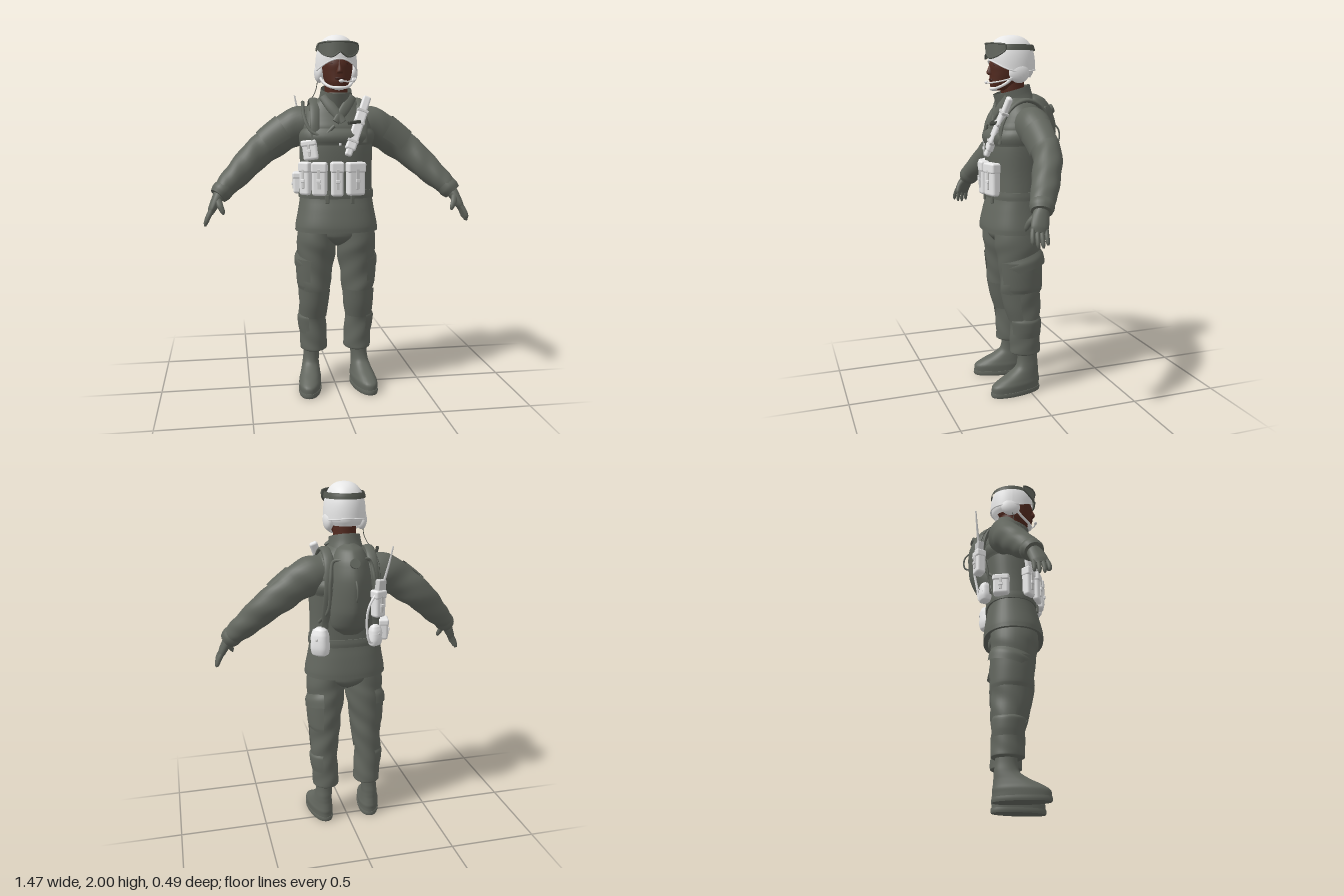
import * as THREE from 'three';
import { RoundedBoxGeometry } from 'three/addons/geometries/RoundedBoxGeometry.js';

const mat = (name, color) => new THREE.MeshStandardMaterial({ name, color, side: THREE.DoubleSide });
const V = (p) => new THREE.Vector3(...p);

// Smooth skin through oval sections: rows of [x, y, z, radiusU, radiusV]
function loft(rows, { n = 32, steps = 5, pow = 1, flat = false, caps = true, arc = null, ref = [0, 0, 1], fold = 0 } = {}) {
  const path = new THREE.CatmullRomCurve3(rows.map((r) => V(r.slice(0, 3))));
  const radii = new THREE.CatmullRomCurve3(rows.map((r) => V([r[3], r[4], 0])));
  const count = (rows.length - 1) * steps, cols = arc ? n + 1 : n;
  const [a0, a1] = arc || [0, Math.PI * 2];
  const pos = [], idx = [];
  const se = (c) => Math.sign(c) * Math.abs(c) ** pow;
  const ring = (s) => {
    const t = flat ? V([0, 1, 0]) : path.getTangent(s);
    const u = t.clone().cross(V(ref)).normalize(), v = u.clone().cross(t);
    const c = path.getPoint(s), r = radii.getPoint(s);
    for (let j = 0; j < cols; j++) {
      const a = a0 + (a1 - a0) * j / n;
      const k = 1 + fold * Math.sin(s * 31 + 2 * a) * Math.sin(s * Math.PI) * Math.cos(a + s * 9);
      const p = c.clone().addScaledVector(u, se(Math.cos(a)) * r.x * k).addScaledVector(v, se(Math.sin(a)) * r.y * k);
      pos.push(p.x, p.y, p.z);
    }
    return c;
  };
  for (let i = 0; i <= count; i++) ring(i / count);
  for (let i = 0; i < count; i++) for (let j = 0; j < n; j++) {
    const k = arc ? j + 1 : (j + 1) % n, a = i * cols + j, b = i * cols + k;
    idx.push(a, a + cols, b, b, a + cols, b + cols);
  }
  if (caps && !arc) for (const s of [0, 1]) {
    const base = pos.length / 3, c = ring(s);
    pos.push(c.x, c.y, c.z);
    for (let j = 0; j < n; j++) {
      const k = base + (j + 1) % n;
      s ? idx.push(base + n, k, base + j) : idx.push(base + n, base + j, k);
    }
  }
  const g = new THREE.BufferGeometry();
  g.setAttribute('position', new THREE.Float32BufferAttribute(pos, 3));
  g.setIndex(idx);
  g.computeVertexNormals();
  return g;
}

const box = (w, h, d, r = 0.012) => new RoundedBoxGeometry(w, h, d, 3, Math.min(r, w * 0.45, h * 0.45, d * 0.45));
const ball = (rx, ry, rz) => new THREE.SphereGeometry(1, 20, 14).scale(rx, ry, rz);
const cord = (pts, r, closed = false) => new THREE.TubeGeometry(new THREE.CatmullRomCurve3(pts.map(V), closed), 48, r, 8, closed);

export function createModel() {
  const olive = mat('oliveCloth', 0x62665e), dark = mat('darkOlive', 0x454942), trim = mat('goggleTrim', 0x53574f);
  const white = mat('whiteGear', 0xeeeeee), grey = mat('greyTrim', 0xcfcfce), skin = mat('skin', 0x522a1f), lip = mat('darkSkin', 0x40201a);
  const root = new THREE.Group();
  root.name = 'soldier';
  const add = (name, geo, m, p = [0, 0, 0], rot = [0, 0, 0], parent = root) => {
    const mesh = new THREE.Mesh(geo, m);
    mesh.name = name;
    mesh.position.set(...p);
    mesh.rotation.set(...rot);
    parent.add(mesh);
    return mesh;
  };
  // Left part plus its mirrored right twin
  const pair = (name, geo, m, p, rot) => {
    const left = add(name + 'Left', geo, m, p, rot);
    left.updateMatrix();
    const g = geo.clone().applyMatrix4(left.matrix).applyMatrix4(new THREE.Matrix4().makeScale(-1, 1, 1));
    const ix = Array.from(g.index ? g.index.array : g.attributes.position.array.keys()).slice(0, g.index ? undefined : g.attributes.position.count);
    for (let i = 0; i < ix.length; i += 3) [ix[i], ix[i + 1]] = [ix[i + 1], ix[i]];
    g.setIndex(ix);
    add(name + 'Right', g, m);
  };

  // Jacket body with flared skirt
  add('jacket', loft([
    [0, 0.93, 0.05, 0.232, 0.17], [0, 0.96, 0.05, 0.23, 0.17], [0, 1.05, 0.045, 0.213, 0.155], [0, 1.14, 0.04, 0.2, 0.137],
    [0, 1.25, 0.038, 0.195, 0.14], [0, 1.4, 0.033, 0.2, 0.15], [0, 1.5, 0.02, 0.2, 0.15], [0, 1.58, 0.012, 0.182, 0.125],
    [0, 1.63, 0.015, 0.14, 0.105], [0, 1.665, 0.025, 0.09, 0.09], [0, 1.69, 0.03, 0.07, 0.075]], { flat: true, pow: 0.87, n: 48 }), olive);
  add('vest', loft([[0, 1.15, 0.04, 0.203, 0.142], [0, 1.25, 0.038, 0.2, 0.145], [0, 1.4, 0.033, 0.204, 0.154], [0, 1.5, 0.02, 0.203, 0.154], [0, 1.535, 0.016, 0.195, 0.144]],
    { flat: true, pow: 0.87, n: 48, caps: false }), olive);
  add('belt', loft([[0, 1.115, 0.04, 0.21, 0.148], [0, 1.135, 0.04, 0.21, 0.15], [0, 1.16, 0.04, 0.207, 0.148]],
    { flat: true, pow: 0.87, n: 48 }), olive);
  add('collar', loft([[0, 1.62, 0.02, 0.105, 0.108], [0, 1.67, 0.036, 0.09, 0.106], [0, 1.71, 0.047, 0.084, 0.107]], { caps: false }), olive);
  pair('lapel', loft([[0.08, 1.67, 0.1, 0.026, 0.01], [0.04, 1.61, 0.133, 0.028, 0.01], [-0.02, 1.53, 0.166, 0.02, 0.008]], { n: 14 }), olive);
  pair('shoulderStrap', loft([[0.13, 1.42, 0.163, 0.008, 0.024], [0.132, 1.53, 0.146, 0.01, 0.026], [0.125, 1.62, 0.085, 0.012, 0.028],
    [0.122, 1.652, 0, 0.013, 0.028], [0.12, 1.61, -0.085, 0.012, 0.028], [0.125, 1.5, -0.125, 0.01, 0.026], [0.14, 1.3, -0.1, 0.008, 0.024],
    [0.15, 1.16, -0.085, 0.008, 0.024]], { ref: [1, 0, 0], n: 14 }), olive);

  // Sleeves, gloves
  const arm = [[0.12, 1.535, 0, 0.085, 0.085], [0.2, 1.51, -0.003, 0.108, 0.095], [0.3, 1.457, -0.006, 0.095, 0.079], [0.4, 1.385, -0.004, 0.087, 0.074],
    [0.5, 1.297, 0.035, 0.078, 0.073], [0.58, 1.217, 0.083, 0.066, 0.068], [0.632, 1.163, 0.113, 0.053, 0.059], [0.652, 1.14, 0.123, 0.042, 0.045]];
  pair('sleeve', loft(arm, { fold: 0.06 }), olive);
  pair('sleevePocket', loft([[0.275, 1.474, -0.006, 0.107, 0.091], [0.33, 1.438, -0.006, 0.101, 0.086], [0.385, 1.397, -0.004, 0.096, 0.082]],
    { arc: [Math.PI * 0.4, Math.PI * 1.15], n: 16 }), olive);
  pair('gloveCuff', loft([[0.615, 1.18, 0.105, 0.056, 0.061], [0.635, 1.16, 0.115, 0.058, 0.063], [0.655, 1.138, 0.125, 0.049, 0.053]], { n: 20 }), olive);
  pair('palm', loft([[0.645, 1.15, 0.12, 0.034, 0.036], [0.668, 1.11, 0.135, 0.027, 0.044], [0.688, 1.07, 0.147, 0.022, 0.045],
    [0.698, 1.045, 0.152, 0.015, 0.036]], { n: 18 }), olive);
  for (let i = 0; i < 4; i++) {
    const o = (i - 1.5) * 0.022, len = [0.88, 1, 0.97, 0.8][i];
    pair('finger' + i, loft([[0.69, 1.065, 0.15 + o, 0.013, 0.012], [0.69 + 0.022 * len, 1.065 - 0.04 * len, 0.155 + o * 1.1, 0.013, 0.0115],
      [0.69 + 0.034 * len, 1.065 - 0.072 * len, 0.156 + o * 1.15, 0.011, 0.01], [0.69 + 0.038 * len, 1.065 - 0.088 * len, 0.155 + o * 1.15, 0.005, 0.005]],
      { n: 10, steps: 3 }), olive);
  }
  pair('thumb', loft([[0.66, 1.125, 0.15, 0.02, 0.018], [0.645, 1.09, 0.182, 0.017, 0.015], [0.632, 1.06, 0.193, 0.013, 0.012],
    [0.627, 1.045, 0.197, 0.005, 0.005]], { n: 10 }), olive);

  // Trousers with bloused cuffs, wrap-round pockets and knee patches
  pair('trouserLeg', loft([[0.128, 0.222, 0.01, 0.06, 0.07], [0.127, 0.235, 0.013, 0.078, 0.088], [0.13, 0.3, 0.014, 0.078, 0.087],
    [0.132, 0.4, 0.015, 0.077, 0.086], [0.13, 0.5, 0.03, 0.083, 0.1], [0.126, 0.6, 0.035, 0.091, 0.115], [0.12, 0.7, 0.04, 0.1, 0.12],
    [0.115, 0.8, 0.045, 0.107, 0.128], [0.112, 0.88, 0.05, 0.111, 0.132], [0.1, 1, 0.05, 0.1, 0.13]], { flat: true, fold: 0.06 }), olive);
  add('trouserSeat', loft([[0, 0.845, 0.04, 0.03, 0.07], [0, 0.87, 0.042, 0.09, 0.115], [0, 0.91, 0.045, 0.18, 0.138], [0, 1, 0.045, 0.19, 0.138]],
    { flat: true }), olive);
  const side = { n: 18, steps: 4, arc: [-0.4 * Math.PI, 0.38 * Math.PI] };
  pair('cargoPocket', loft([[0.125, 0.595, 0.033, 0.09, 0.115], [0.123, 0.62, 0.035, 0.1, 0.121], [0.12, 0.7, 0.04, 0.109, 0.126],
    [0.117, 0.77, 0.044, 0.114, 0.13]], { ...side, flat: true }), olive);
  pair('cargoFlap', loft([[0.119, 0.725, 0.026, 0.116, 0.132], [0.117, 0.765, 0.036, 0.119, 0.135], [0.116, 0.8, 0.046, 0.106, 0.127]], side), olive);
  pair('kneePatch', loft([[0.132, 0.425, 0.018, 0.079, 0.093], [0.13, 0.5, 0.03, 0.086, 0.106], [0.126, 0.59, 0.035, 0.093, 0.12]],
    { flat: true, arc: [0.1 * Math.PI, 0.9 * Math.PI] }), olive);
  pair('calfPocket', loft([[0.13, 0.33, 0.014, 0.079, 0.088], [0.131, 0.37, 0.014, 0.086, 0.091], [0.132, 0.42, 0.018, 0.089, 0.094],
    [0.132, 0.44, 0.02, 0.079, 0.09]], { ...side, flat: true }), olive);

  // Boots turned slightly outward
  const bootAt = [0.143, 0, 0], turn = [0, 0.16, 0];
  pair('boot', loft([[0, 0.022, 0.082, 0.061, 0.148], [0, 0.055, 0.08, 0.063, 0.148], [0, 0.085, 0.06, 0.058, 0.125], [0, 0.115, 0.032, 0.052, 0.092],
    [0, 0.15, 0.008, 0.047, 0.066], [-0.004, 0.2, 0.003, 0.046, 0.058], [-0.008, 0.26, 0.005, 0.05, 0.06]], { flat: true, pow: 0.9 }), olive, bootAt, turn);
  pair('sole', loft([[0, 0, 0.082, 0.062, 0.15], [0, 0.012, 0.082, 0.065, 0.153], [0, 0.026, 0.082, 0.064, 0.151]], { flat: true, pow: 0.9, steps: 2 }), olive, bootAt, turn);

  // Head
  add('neck', loft([[0, 1.62, 0.02, 0.07, 0.07], [0, 1.7, 0.04, 0.063, 0.066], [0, 1.8, 0.045, 0.065, 0.07]], { flat: true }), skin);
  add('head', loft([[0, 1.703, 0.12, 0.028, 0.035], [0, 1.715, 0.105, 0.045, 0.06], [0, 1.745, 0.085, 0.066, 0.085], [0, 1.79, 0.07, 0.08, 0.1],
    [0, 1.84, 0.062, 0.087, 0.11], [0, 1.9, 0.055, 0.085, 0.1], [0, 1.95, 0.05, 0.06, 0.07]], { flat: true, pow: 0.93 }), skin);
  add('nose', loft([[0, 1.787, 0.166, 0.02, 0.015], [0, 1.798, 0.168, 0.018, 0.022], [0, 1.83, 0.164, 0.01, 0.014], [0, 1.86, 0.158, 0.008, 0.01]],
    { flat: true, n: 14 }), skin);
  add('lips', ball(0.026, 0.009, 0.01), lip, [0, 1.762, 0.165]);
  pair('eye', ball(0.014, 0.006, 0.006), lip, [0.035, 1.84, 0.158], [0, 0.3, 0]);

  // Helmet dome with a rim that dips over the ears
  const rimY = (f) => 1.805 + (f > 0 ? 0.06 : 0.012) * f * f;
  const dome = new THREE.SphereGeometry(1, 48, 24, 0, Math.PI * 2, 0, Math.PI / 2), dp = dome.attributes.position;
  for (let i = 0; i < dp.count; i++) {
    const x = dp.getX(i), z = dp.getZ(i), y = Math.max(0, dp.getY(i)), r = Math.hypot(x, z) || 1e-6;
    const rim = rimY(z / r), k = r ** 0.8 / r;
    dp.setXYZ(i, x * k * 0.115, rim + (2 - rim) * y ** 0.76, z * k * 0.131 + 0.045);
  }
  dome.computeVertexNormals();
  add('helmet', dome, white);
  const rimPts = Array.from({ length: 24 }, (_, i) => {
    const a = i / 24 * Math.PI * 2, f = Math.cos(a);
    return [Math.sin(a) * 0.114, rimY(f), f * 0.13 + 0.045];
  });
  add('helmetRim', cord(rimPts, 0.004, true), white);
  pair('earCup', ball(0.028, 0.055, 0.058), white, [0.092, 1.798, 0.035]);
  add('napePad', loft([[0, 1.775, 0.04, 0.085, 0.1], [0, 1.8, 0.042, 0.1, 0.115], [0, 1.83, 0.045, 0.108, 0.124]],
    { flat: true, arc: [Math.PI * 1.02, Math.PI * 1.98] }), white);
  add('chinStrap', cord([[-0.1, 1.79, 0.06], [-0.08, 1.745, 0.1], [-0.045, 1.718, 0.145], [0, 1.712, 0.163], [0.045, 1.718, 0.145], [0.08, 1.745, 0.1], [0.1, 1.79, 0.06]], 0.008), white);
  add('chinCup', ball(0.036, 0.015, 0.022), white, [0, 1.715, 0.147]);
  add('microphoneBoom', cord([[0.105, 1.775, 0.06], [0.088, 1.755, 0.13], [0.04, 1.745, 0.185], [0.005, 1.748, 0.193]], 0.004), white);
  add('microphone', ball(0.014, 0.009, 0.009), white, [0.005, 1.748, 0.193]);

  // Goggles: strap, curved lens with a nose notch, and rim
  add('goggleStrap', loft([[0, 1.917, 0.045, 0.114, 0.13], [0, 1.932, 0.045, 0.111, 0.127], [0, 1.948, 0.045, 0.106, 0.121]], { flat: true, caps: false, n: 40 }), trim);
  const lowEdge = (a) => 1.872 + 0.028 * Math.exp(-((a / 0.2) ** 2)) + 0.045 * Math.abs(a / 1.1) ** 3;
  const highEdge = (a) => 1.953 - 0.008 * Math.abs(a / 1.1) ** 3;
  const onLens = (a, y) => [Math.sin(a) * 0.121, y, 0.055 + Math.cos(a) * 0.136];
  const lens = new THREE.PlaneGeometry(2.2, 1, 28, 4), lp = lens.attributes.position;
  for (let i = 0; i < lp.count; i++) {
    const a = lp.getX(i), t = lp.getY(i) + 0.5;
    lp.setXYZ(i, ...onLens(a, lowEdge(a) + (highEdge(a) - lowEdge(a)) * t));
  }
  lens.computeVertexNormals();
  add('goggleLens', lens, olive);
  const span = Array.from({ length: 15 }, (_, i) => -1.1 + i * 2.2 / 14);
  add('goggleFrame', cord([...span.map((a) => onLens(a, highEdge(a))), ...span.reverse().map((a) => onLens(a, lowEdge(a)))], 0.005, true), trim);

  // Pouches with flap, strap and buckle
  const pouch = (name, p, [w, h, d], ry = 0, rz = 0) => {
    const g = new THREE.Group();
    g.name = name;
    g.position.set(...p);
    g.rotation.set(0, ry, rz);
    root.add(g);
    add('body', box(w, h, d, 0.015), white, [0, 0, 0], [0, 0, 0], g);
    add('flap', box(w + 0.006, h * 0.32, d + 0.006, 0.012), white, [0, h * 0.35, 0.002], [0, 0, 0], g);
    add('strap', box(0.016, h * 0.6, 0.006, 0.002), grey, [0, 0, d / 2 + 0.003], [0, 0, 0], g);
    add('buckle', box(0.024, 0.018, 0.01, 0.003), white, [0, -h * 0.05, d / 2 + 0.006], [0, 0, 0], g);
  };
  pouch('frontPouch1', [-0.178, 1.225, 0.128], [0.065, 0.18, 0.055], -0.75);
  pouch('frontPouch2', [-0.11, 1.225, 0.175], [0.08, 0.18, 0.055], -0.3);
  pouch('frontPouch3', [-0.018, 1.225, 0.2], [0.066, 0.185, 0.055]);
  pouch('frontPouch4', [0.085, 1.225, 0.187], [0.1, 0.18, 0.055], 0.25);
  pouch('chestPouch', [-0.155, 1.38, 0.138], [0.09, 0.11, 0.035], -0.55, 0.15);
  pouch('rightHipPouch', [-0.205, 1.19, -0.025], [0.09, 0.12, 0.055], -1.75);
  pouch('radioPouch', [-0.14, 1.37, -0.15], [0.07, 0.15, 0.055], -2.7);

  // Rounded canteen covers, wider at the bottom
  const canteen = (name, p, s, ry) => {
    const g = new THREE.Group();
    g.name = name;
    g.position.set(...p);
    g.rotation.y = ry;
    g.scale.setScalar(s);
    root.add(g);
    add('body', loft([[0, -0.08, 0, 0.03, 0.02], [0, -0.07, 0, 0.046, 0.036], [0, -0.03, 0, 0.052, 0.045], [0, 0.03, 0, 0.046, 0.039],
      [0, 0.065, 0, 0.038, 0.03], [0, 0.08, 0, 0.02, 0.016]], { flat: true, pow: 0.75 }), white, [0, 0, 0], [0, 0, 0], g);
    add('flapEdge', loft([[0, 0.015, 0.002, 0.051, 0.045], [0, 0.04, 0.001, 0.048, 0.041], [0, 0.068, 0, 0.039, 0.031]],
      { flat: true, pow: 0.75, caps: false }), white, [0, 0, 0], [0, 0, 0], g);
    add('snap', ball(0.008, 0.008, 0.005), grey, [0, 0.02, 0.046], [0, 0, 0], g);
  };
  canteen('leftCanteen', [0.172, 1.16, -0.095], 1, 2.5);
  canteen('rightCanteen', [-0.135, 1.18, -0.115], 0.75, -2.7);

  // Radio on the right of the back
  add('radio', box(0.052, 0.08, 0.038, 0.006), grey, [-0.15, 1.46, -0.152], [0, 0.4, 0.1]);
  add('antenna', loft([[-0.165, 1.48, -0.155, 0.008, 0.008], [-0.19, 1.58, -0.166, 0.006, 0.006], [-0.21, 1.68, -0.175, 0.004, 0.004]], { n: 8 }), grey);
  add('radioHose', cord([[-0.13, 1.44, -0.17], [-0.08, 1.36, -0.18], [-0.075, 1.24, -0.16], [-0.1, 1.15, -0.145], [-0.17, 1.17, -0.125]], 0.007), white);
  add('headsetWire', cord([[-0.1, 1.77, 0.04], [-0.115, 1.7, 0.05], [-0.135, 1.655, 0.02], [-0.15, 1.6, -0.1], [-0.15, 1.48, -0.155]], 0.002), dark);

  // Diagonal sheath on the left chest
  const sheath = new THREE.Group();
  sheath.name = 'chestSheath';
  const top = V([0.158, 1.655, 0.115]), low = V([0.042, 1.36, 0.205]);
  sheath.position.copy(top).add(low).multiplyScalar(0.5);
  sheath.quaternion.setFromUnitVectors(V([0, 1, 0]), top.clone().sub(low).normalize());
  root.add(sheath);
  add('scabbard', box(0.058, 0.24, 0.036), white, [0, -0.02, 0], [0, 0, 0], sheath);
  add('handle', box(0.046, 0.13, 0.03), white, [0, 0.115, 0], [0, 0, 0], sheath);
  add('tip', box(0.04, 0.05, 0.028), white, [0, -0.15, 0], [0, 0, 0], sheath);
  for (const y of [-0.09, 0.02, 0.09]) add('band', box(0.063, 0.016, 0.041, 0.004), grey, [0, y, 0], [0, 0, 0], sheath);

  // Chest fittings and cables
  add('chestCable', cord([[-0.185, 1.64, 0.03], [-0.185, 1.56, 0.105], [-0.15, 1.48, 0.155], [-0.09, 1.46, 0.178], [-0.03, 1.51, 0.175]], 0.01), olive);
  add('chestClip', box(0.07, 0.018, 0.03, 0.006), dark, [0.08, 1.53, 0.172], [0, 0.2, 0.12]);
  add('chestBuckle', box(0.045, 0.012, 0.01, 0.003), white, [0, 1.437, 0.19]);
  add('buckleTab', box(0.014, 0.03, 0.01, 0.003), white, [0, 1.42, 0.19]);
  for (const x of [-0.07, 0.07]) add('beltTab', box(0.022, 0.05, 0.012, 0.004), olive, [x, 1.115, 0.185], [0, x * 3, 0]);

  // Water carrier on the back
  add('waterPack', loft([[0, 1.19, -0.08, 0.06, 0.035], [0, 1.24, -0.09, 0.105, 0.073], [0, 1.34, -0.095, 0.118, 0.112], [0, 1.5, -0.095, 0.115, 0.122],
    [0, 1.6, -0.08, 0.1, 0.11], [0, 1.66, -0.07, 0.07, 0.075], [0, 1.685, -0.06, 0.03, 0.035]], { flat: true, pow: 1.25 }), olive);
  add('fillerCap', new THREE.CylinderGeometry(0.026, 0.028, 0.022, 20), olive, [0, 1.6, -0.187], [-1.2, 0, 0]);
  add('drinkingTube', cord([[0, 1.52, -0.205], [0, 1.485, -0.236], [0, 1.44, -0.243], [0, 1.41, -0.232], [-0.01, 1.4, -0.2]], 0.005), olive);
  pair('packStrap', cord([[0.01, 1.59, -0.175], [0.06, 1.61, -0.135], [0.1, 1.6, -0.11], [0.122, 1.5, -0.14], [0.13, 1.34, -0.12], [0.17, 1.26, -0.06]], 0.009), olive);
  return root;
}
